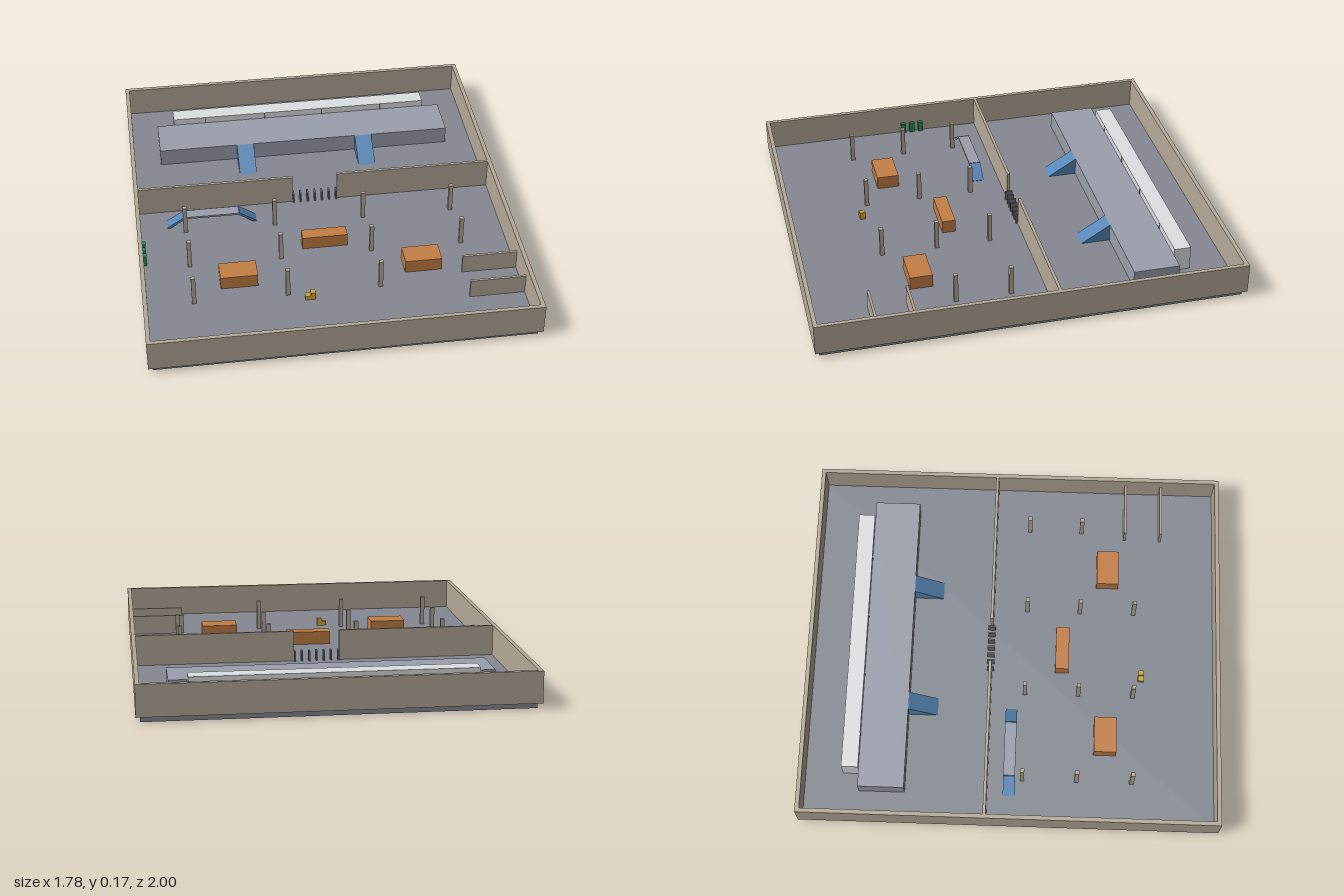
import * as THREE from 'three';

const FLOOR = 0.026, TOP = 0.173;
const mat = (color) => new THREE.MeshStandardMaterial({ color });
const wallMat = mat(0xb5aa99), floorMat = mat(0x858992), platformMat = mat(0x9a9fac);
const trainMat = mat(0xdde1e4), rampMat = mat(0x5585b5), kioskMat = mat(0xc47f45);
const machineMat = mat(0x2a8a5c), yellowMat = mat(0xd0a83a), gateMat = mat(0x70747a);

export function createModel() {
  const model = new THREE.Group();

  // box given by its extents on each axis
  const box = (name, material, x0, x1, y0, y1, z0, z1) => {
    const mesh = new THREE.Mesh(new THREE.BoxGeometry(x1 - x0, y1 - y0, z1 - z0), material);
    mesh.position.set((x0 + x1) / 2, (y0 + y1) / 2, (z0 + z1) / 2);
    mesh.name = name;
    model.add(mesh);
    return mesh;
  };

  // floor slab and the overhanging outer walls
  box('floorSlab', floorMat, -0.87, 0.87, 0, FLOOR, -0.98, 0.98);
  for (const s of [-1, 1]) {
    const x = s * 0.88, z = s * 0.99;
    box('sideWall', wallMat, x - 0.01, x + 0.01, FLOOR, TOP, -1, 1);
    box('endWall', wallMat, -0.87, 0.87, FLOOR, TOP, z - 0.01, z + 0.01);
    // dividing wall, open in the middle
    box('dividingWall', wallMat, s < 0 ? -0.87 : 0.11, s < 0 ? -0.11 : 0.87, FLOOR, TOP, -0.119, -0.105);
  }

  // ticket gates in the opening
  for (let i = -3; i <= 3; i++) {
    const x = i * 0.0355;
    box('ticketGate', gateMat, x - 0.004, x + 0.004, FLOOR, 0.075, -0.13, -0.095);
  }

  // platform, train and door posts
  box('platform', platformMat, -0.74, 0.74, FLOOR, 0.112, -0.72, -0.5);
  box('train', trainMat, -0.655, 0.655, FLOOR, 0.145, -0.8, -0.72);
  for (const x of [-0.49, -0.18, 0.12, 0.43]) {
    box('trainDoorLine', gateMat, x - 0.003, x + 0.003, 0.112, 0.143, -0.72, -0.718);
  }

  // wedge ramps down from the platform
  const wedge = new THREE.Shape([
    new THREE.Vector2(0, 0), new THREE.Vector2(0.14, 0), new THREE.Vector2(0, 0.086),
  ]);
  const wedgeGeometry = new THREE.ExtrudeGeometry(wedge, { depth: 0.086, bevelEnabled: false });
  wedgeGeometry.rotateY(-Math.PI / 2);
  for (const x of [-0.262, 0.348]) {
    const ramp = new THREE.Mesh(wedgeGeometry, rampMat);
    ramp.position.set(x, FLOOR, -0.5);
    ramp.name = 'platformRamp';
    model.add(ramp);
  }

  // raised walkway with a sloping slab at each end
  box('walkway', platformMat, -0.655, -0.39, 0.074, 0.084, -0.03, 0.026);
  const slab = (x0, y0, x1, y1) => {
    const length = Math.hypot(x1 - x0, y1 - y0);
    const mesh = new THREE.Mesh(new THREE.BoxGeometry(length, 0.012, 0.056), rampMat);
    mesh.position.set((x0 + x1) / 2, (y0 + y1) / 2, -0.002);
    mesh.rotation.z = Math.atan2(y1 - y0, x1 - x0);
    mesh.name = 'walkwayRamp';
    model.add(mesh);
  };
  slab(-0.74, 0.024, -0.655, 0.079);
  slab(-0.39, 0.079, -0.308, 0.024);

  // columns in a grid, leaving out the corner beside the partitions
  for (const x of [-0.655, -0.22, 0.215, 0.65]) {
    for (const z of [0.06, 0.32, 0.585]) {
      if (x === 0.65 && z === 0.585) continue;
      box('column', wallMat, x - 0.01, x + 0.01, FLOOR, TOP, z - 0.01, z + 0.01);
    }
  }

  // kiosks
  box('centreKiosk', kioskMat, -0.11, 0.107, FLOOR, 0.09, 0.205, 0.27);
  box('rightKiosk', kioskMat, -0.525, -0.35, FLOOR, 0.09, 0.4, 0.508);
  box('leftKiosk', kioskMat, 0.345, 0.52, FLOOR, 0.09, 0.4, 0.508);

  // ticket machines on the side wall
  for (const z of [0.19, 0.235, 0.28]) {
    box('ticketMachine', machineMat, -0.87, -0.855, FLOOR, 0.08, z - 0.013, z + 0.013);
  }

  // small stepped block
  box('lowBlock', yellowMat, -0.145, -0.12, FLOOR, 0.048, 0.612, 0.64);
  box('highBlock', yellowMat, -0.12, -0.097, FLOOR, 0.064, 0.612, 0.64);

  // partitions by the side wall
  for (const z of [0.537, 0.715]) {
    box('partition', wallMat, 0.61, 0.87, FLOOR, 0.12, z - 0.006, z + 0.006);
  }

  return model;
}
